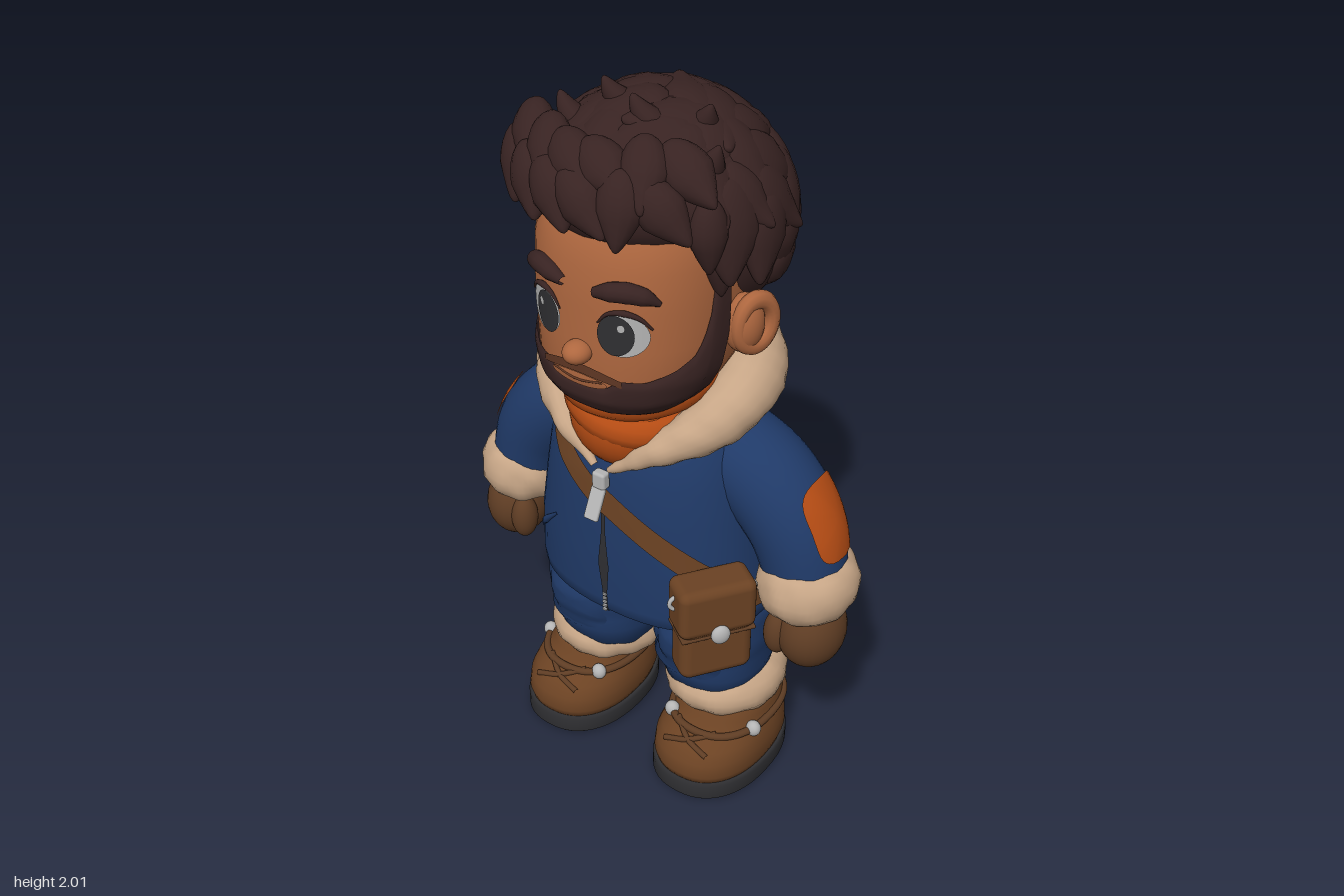
import * as THREE from 'three';
import { mergeVertices, mergeGeometries } from 'three/addons/utils/BufferGeometryUtils.js';
import { RoundedBoxGeometry } from 'three/addons/geometries/RoundedBoxGeometry.js';
import { ParametricGeometry } from 'three/addons/geometries/ParametricGeometry.js';

const V = (x, y, z) => new THREE.Vector3(x, y, z);
const spow = (v, e) => Math.sign(v) * Math.abs(v) ** e;
const rad = THREE.MathUtils.degToRad, TAU = Math.PI * 2;

// Weld a geometry and smooth its normals
function fuse(g) {
  g.deleteAttribute('uv').deleteAttribute('normal');
  const welded = mergeVertices(g, 1e-5);
  welded.computeVertexNormals();
  return welded;
}
// Move every vertex by a rule
function reshape(g, rule) {
  const p = g.attributes.position, n = g.attributes.normal;
  for (let i = 0; i < p.count; i++) {
    const v = rule(V(0, 0, 0).fromBufferAttribute(p, i), V(0, 0, 0).fromBufferAttribute(n, i), i);
    p.setXYZ(i, v.x, v.y, v.z);
  }
  return fuse(g);
}
const param = (fn, nu, nv) => fuse(new ParametricGeometry((u, v, t) => t.copy(fn(u, v)), nu, nv));
const ball = (x, y, z, rx, ry, rz) => fuse(new THREE.SphereGeometry(1, 28, 20)).scale(rx, ry, rz).translate(x, y, z);

// Linear lookup in rows sorted by their first number
function lookup(rows, k) {
  let i = 1;
  while (i < rows.length - 1 && rows[i][0] < k) i++;
  const p = rows[i - 1], q = rows[i], f = THREE.MathUtils.clamp((k - p[0]) / (q[0] - p[0]), 0, 1);
  return p.map((v, j) => v + (q[j] - v) * f);
}
// Bodies are stacks of rounded rings [y, halfWidth, halfDepth, zCentre]; angle 0 is the front
const N = 2.3;
const ringPoint = ([y, a, b, zc], th, xc, off = 0) =>
  V(xc + (a + off) * spow(Math.sin(th), 2 / N), y, zc + (b + off) * spow(Math.cos(th), 2 / N));
const onSurface = (rows, deg, y, off, xc = 0) => ringPoint(lookup(rows, y), rad(deg), xc, off);
function frontPoint(rows, x, y, off, xc = 0) {
  const [, a, b, zc] = lookup(rows, y), k = Math.min(1, Math.abs((x - xc) / a));
  return V(x, y, zc + b * (1 - k ** N) ** (1 / N) + off);
}
function loft(rows, xc = 0) {
  const cap = r => [r[0], 0, 0, r[3]], all = [cap(rows[0]), ...rows, cap(rows[rows.length - 1])], n = all.length - 1;
  return param((u, v) => ringPoint(all[Math.round(v * n)], u * TAU, xc), 48, n);
}
// Rounded disc laid on any surface fn(p, q)
const patch = (fn, cp, cq, sp, sq, e = 1) => param((r, t) =>
  fn(cp + sp * r * spow(Math.cos(t * TAU), e), cq + sq * r * spow(Math.sin(t * TAU), e), r), 6, 32);
// Tube along points, with radii spread along its length
function sweep(pts, radii, closed = false, seg = 48, sides = 12) {
  const c = new THREE.CatmullRomCurve3(pts, closed), rows = [...radii, radii[0]].map((r, i) => [i / Math.max(1, radii.length - 1), r]);
  return reshape(new THREE.TubeGeometry(c, seg, 1, sides, closed), (v, n, i) => {
    const u = Math.floor(i / (sides + 1)) / seg;
    return c.getPointAt(u).addScaledVector(n, lookup(rows, u)[1]);
  });
}
// Soft lumps for fur
const fluff = (g, amp) => reshape(g, (v, n) =>
  v.addScaledVector(n, amp * (Math.sin(v.x * 83 + v.y * 45) + Math.sin(v.z * 87 - v.y * 61 + v.x * 9))));
const furRing = (x, y, z, rx, ry, rz) => fluff(fuse(new THREE.TorusGeometry(0.55, 0.45, 20, 56)).rotateX(Math.PI / 2)
  .scale(rx, ry / 0.45, rz).translate(x, y, z), 0.002);

const HEAD = [[1.22, 0.07, 0.08, 0.1], [1.235, 0.125, 0.13, 0.1], [1.26, 0.17, 0.18, 0.095], [1.3, 0.213, 0.23, 0.07],
  [1.36, 0.24, 0.262, 0.05], [1.45, 0.252, 0.275, 0.035], [1.55, 0.256, 0.28, 0.03], [1.65, 0.255, 0.28, 0.025],
  [1.75, 0.24, 0.26, 0.02], [1.85, 0.18, 0.19, 0]];
const TORSO = [[0.555, 0.325, 0.23, -0.025], [0.565, 0.342, 0.248, -0.025], [0.6, 0.345, 0.252, -0.024], [0.75, 0.335, 0.254, -0.02],
  [0.9, 0.312, 0.25, -0.02], [1.0, 0.295, 0.245, -0.02], [1.1, 0.265, 0.23, -0.022], [1.18, 0.21, 0.2, -0.03], [1.25, 0.12, 0.14, -0.04]];
const LEG = [[0.26, 0.13, 0.14, -0.045], [0.32, 0.148, 0.155, -0.04], [0.36, 0.16, 0.167, -0.03], [0.39, 0.153, 0.158, -0.03],
  [0.43, 0.163, 0.172, -0.03], [0.48, 0.166, 0.176, -0.03], [0.52, 0.158, 0.164, -0.03], [0.6, 0.16, 0.165, -0.03]];
const BOOT = [[0.05, 0.15, 0.21, 0], [0.08, 0.159, 0.219, 0], [0.12, 0.157, 0.214, -0.003], [0.15, 0.148, 0.2, -0.014],
  [0.175, 0.138, 0.178, -0.036], [0.2, 0.13, 0.158, -0.054], [0.25, 0.12, 0.145, -0.06]];

// One pointed hair clump along dir, lying on a surface with normal n
function clump(p, n, dir, len, wid, thick, lift) {
  const t = dir.clone().addScaledVector(n, -dir.dot(n)).normalize(), side = t.clone().cross(n);
  return reshape(fuse(new THREE.SphereGeometry(1, 14, 12)), v => {
    const k = Math.max(0, v.y);
    return p.clone().addScaledVector(side, v.x * (1 - 0.6 * k) * wid).addScaledVector(t, v.y * len)
      .addScaledVector(n, (v.z * (1 - 0.3 * k) + lift * k * k) * thick);
  });
}
function hairGeometry() {
  let seed = 7;
  const rnd = () => (seed = (seed * 16807) % 2147483647) / 2147483647;
  const parts = [ball(0, 1.64, -0.08, 0.3, 0.275, 0.245), ball(0, 1.785, 0.03, 0.28, 0.165, 0.28)];
  const hairline = [[0, 1.85], [45, 1.83], [60, 1.75], [75, 1.65], [100, 1.62], [112, 1.47], [180, 1.42]];
  for (let i = 0; i < 120; i++) {
    const y = 1 - (2 * (i + 0.5)) / 120, r = Math.sqrt(1 - y * y), d = V(r * Math.sin(i * 2.4), y, r * Math.cos(i * 2.4));
    const p = V(d.x * 0.296, 1.66 + d.y * 0.285, -0.02 + d.z * 0.298);
    if (p.y < lookup(hairline, Math.abs(THREE.MathUtils.radToDeg(Math.atan2(d.x, d.z))))[1]) continue;
    const k = 0.85 + rnd() * 0.35, dir = V(-0.3 + (rnd() - 0.5) * 1.3, -1, 0.3 + (rnd() - 0.5) * 1.3);
    parts.push(clump(p, d, dir, 0.11 * k, 0.072 * k, 0.044, rnd() * 1.1 - 0.3));
  }
  // Fringe, temples and top tufts
  for (let i = 0; i < 12; i++) {
    const row = i % 2, x = -0.225 + (i >> 1) * 0.085 + row * 0.025, n = V(x * 2.6, 0.25 + row * 0.6, 1).normalize();
    const z = 0.055 + 0.265 * Math.sqrt(1 - (x / 0.3) ** 2) - row * 0.045;
    parts.push(clump(V(x, 1.825 + row * 0.07, z), n, V((rnd() - 0.4) * 2, -0.8, 0.2), 0.095, 0.06, 0.045, 0.3));
  }
  for (const s of [-1, 1]) for (const [y, z] of [[1.74, 0.15], [1.66, 0.1]])
    parts.push(clump(V(s * 0.25, y, z), V(s, 0, 0.5).normalize(), V(s * 0.2, -1, 0.1), 0.095, 0.05, 0.045, 0.2));
  for (const [x, y, z, dx] of [[-0.07, 1.945, 0.04, -0.5], [0.04, 1.94, 0.08, -0.6], [0.13, 1.92, 0, 0.8], [-0.16, 1.9, 0.1, -0.9], [0.2, 1.86, 0.08, 1.2]])
    parts.push(clump(V(x, y, z), V(-dx * 0.5, 0.7, -0.5).normalize(), V(dx, 0.5, 0.6), 0.075, 0.045, 0.035, 0.7));
  return mergeGeometries(parts);
}

export function createModel() {
  const model = new THREE.Group();
  model.name = 'explorer';
  const mat = (name, color, side = THREE.FrontSide) => Object.assign(new THREE.MeshStandardMaterial({ color, side }), { name });
  const hair = mat('dark brown hair', 0x382322, THREE.DoubleSide), tan = mat('moustache brown', 0x5e3623, THREE.DoubleSide);
  const leather = mat('brown leather', 0x6b4223, THREE.DoubleSide), glove = mat('glove brown', 0x5f3d24);
  const skin = mat('skin', 0xae673f), blue = mat('navy cloth', 0x203a68), fur = mat('cream fur', 0xc6a586);
  const orange = mat('orange cloth', 0xb54c14), dark = mat('charcoal', 0x2f2f32), metal = mat('pale grey', 0xb4b4b4);

  const add = (name, geo, material) => model.add(Object.assign(new THREE.Mesh(geo, material), { name }));
  function pair(name, geo, material) {
    const g = geo.clone().scale(-1, 1, 1), ix = g.index.array;
    for (let i = 0; i < ix.length; i += 3) [ix[i], ix[i + 1]] = [ix[i + 1], ix[i]];
    add(name + 'Left', geo, material);
    add(name + 'Right', g, material);
  }

  // Head and face
  const face = off => (x, y) => frontPoint(HEAD, x, y, off);
  const along = (pts, off) => pts.map(([x, y]) => face(off)(x, y));
  add('head', loft(HEAD), skin);
  add('hair', hairGeometry(), hair);
  pair('ear', ball(0.272, 1.46, 0.02, 0.05, 0.078, 0.055), skin);
  pair('earRim', fuse(new THREE.TorusGeometry(0.05, 0.02, 10, 28)).rotateY(1.2).scale(1, 1.25, 1).translate(0.3, 1.465, 0.012), skin);
  add('nose', ball(0, 1.43, 0.32, 0.036, 0.03, 0.04), skin);
  pair('eyeWhite', patch(face(0.006), 0.113, 1.5, 0.058, 0.058), metal);
  pair('iris', patch(face(0.01), 0.1, 1.5, 0.043, 0.054), dark);
  pair('eyeGlint', patch(face(0.014), 0.116, 1.523, 0.009, 0.011), metal);
  pair('lashLine', sweep(along([[0.055, 1.525], [0.08, 1.553], [0.115, 1.561], [0.15, 1.55], [0.175, 1.52]], 0.006), [0.002, 0.008, 0.003], false, 20), hair);
  pair('brow', sweep(along([[0.045, 1.602], [0.085, 1.612], [0.125, 1.615], [0.16, 1.605], [0.187, 1.585]], 0.006), [0.012, 0.024, 0.026, 0.022, 0.006], false, 24), hair);
  const beardTop = [[0, 1.342], [14, 1.342], [22, 1.372], [38, 1.372], [55, 1.395], [66, 1.425], [73, 1.5], [76, 1.64], [84, 1.64]];
  add('beard', param((u, v) => {
    const deg = -84 + 168 * u, top = lookup(beardTop, Math.abs(deg))[1];
    return onSurface(HEAD, deg, 1.222 + (top - 1.222) * v, 0.003 + 0.014 * Math.sqrt(Math.abs(Math.sin(Math.PI * (0.15 + v * 0.85)))));
  }, 64, 14), hair);
  add('moustache', param((u, v) => {
    const x = -0.115 + 0.23 * u, k = (x / 0.115) ** 2;
    return face(0.012)(x, 1.376 - 0.018 * k + v * (0.026 - 0.008 * k));
  }, 24, 4), tan);
  add('lips', patch(face(0.013), 0, 1.358, 0.082, 0.018), skin);
  add('smileLine', sweep(along([[-0.07, 1.366], [0, 1.357], [0.07, 1.366]], 0.014), [0.003], false, 16), tan);

  // Scarf and fur collar
  add('scarfFront', ball(0, 1.155, 0.122, 0.155, 0.14, 0.142), orange);
  for (const [y, rx, rz, r, tilt] of [[1.265, 0.17, 0.16, 0.05, 0.02], [1.2, 0.15, 0.16, 0.05, -0.03], [1.14, 0.1, 0.14, 0.04, 0.025]]) {
    const loop = Array.from({ length: 10 }, (_, i) => [Math.sin(i / 10 * TAU), Math.cos(i / 10 * TAU)]);
    add('scarfWrap', sweep(loop.map(([s, c]) => V(rx * s, y + tilt * s - 0.02 * c, 0.06 + rz * c)), [r], true), orange);
  }
  const lapel = [V(0.022, 1.045, 0.237), V(0.128, 1.122, 0.205), V(0.228, 1.19, 0.1), V(0.254, 1.25, -0.03), V(0.17, 1.268, -0.165)];
  const collar = [...lapel, V(0, 1.27, -0.21), ...lapel.map(p => V(-p.x, p.y, p.z)).reverse()];
  add('furCollar', fluff(sweep(collar, [0.008, 0.042, 0.074, 0.09, 0.096, 0.1, 0.096, 0.09, 0.074, 0.042, 0.008], false, 90, 18), 0.0015), fur);

  // Jacket with zip and pocket welts
  add('jacket', loft(TORSO), blue);
  add('zip', param((u, v) => {
    const y = 0.562 + 0.45 * v, w = 0.007 + 0.01 * Math.max(0, 1 - Math.abs(y - 0.73) / 0.1);
    return frontPoint(TORSO, (u - 0.5) * 2 * w, y, 0.006);
  }, 2, 30), dark);
  for (let i = 0; i < 5; i++) add('zipTooth', new THREE.BoxGeometry(0.012, 0.006, 0.006).translate(0, 0.575 + i * 0.013, 0.236), metal);
  add('zipSlider', new RoundedBoxGeometry(0.04, 0.05, 0.03, 2, 0.008).translate(0, 1.01, 0.242), metal);
  add('zipPull', new RoundedBoxGeometry(0.042, 0.09, 0.014, 2, 0.005).rotateX(-0.45).translate(0, 0.95, 0.268), metal);
  for (const [from, to] of [[30, 58], [150, 122]])
    pair('pocketWelt', sweep([0, 0.5, 1].map(f => onSurface(TORSO, from + (to - from) * f, 0.8 - 0.14 * f, 0.001)), [0.003, 0.011, 0.003], false, 20), blue);

  // Sleeves, patches, cuffs and mittens
  const armPath = new THREE.CatmullRomCurve3([V(0.15, 1.065, -0.045), V(0.315, 0.985, -0.045), V(0.412, 0.88, -0.04), V(0.465, 0.73, -0.03)]);
  const arm = off => (phi, u) => {
    const t = armPath.getTangentAt(u), r = 0.125 + 0.014 * Math.sin(u * Math.PI) - 0.016 * u + off;
    return armPath.getPointAt(u).add(V(-t.y * Math.cos(phi), t.x * Math.cos(phi), Math.sin(phi)).multiplyScalar(r));
  };
  pair('sleeve', param((u, v) => arm(0)(u * TAU, v), 32, 24), blue);
  pair('elbowPatch', patch(arm(0.006), -0.14, 0.68, 0.76, 0.165, 0.55), orange);
  pair('sleeveCuff', furRing(0.467, 0.728, -0.03, 0.134, 0.082, 0.144), fur);
  pair('mitten', ball(0.497, 0.59, -0.012, 0.09, 0.112, 0.105), glove);
  pair('mittenThumb', ball(0.43, 0.585, 0.05, 0.038, 0.068, 0.04), glove);

  // Trousers and boots
  const lx = 0.182, bx = 0.228, onBoot = (deg, y, off) => onSurface(BOOT, deg, y, off, bx);
  add('hips', ball(0, 0.6, -0.03, 0.31, 0.09, 0.19), blue);
  pair('trouserLeg', loft(LEG, lx), blue);
  pair('kneePocket', patch((x, y, r) => frontPoint(LEG, x, y, 0.014 * (1 - r ** 6), lx), 0.19, 0.455, 0.1, 0.09, 0.45), blue);
  pair('trouserCuff', furRing(0.203, 0.265, -0.06, 0.17, 0.07, 0.183), fur);
  pair('boot', loft(BOOT, bx), leather);
  pair('sole', loft([[0, 0.155, 0.216, 0], [0.008, 0.163, 0.223, 0], [0.05, 0.163, 0.223, 0], [0.058, 0.157, 0.217, 0]], bx), dark);
  pair('bootStrap', sweep(Array.from({ length: 24 }, (_, i) => onBoot(i * 15, 0.178, 0.002)), [0.011], true, 72), glove);
  for (const deg of [-40, 68]) pair('bootStud', ball(...onBoot(deg, 0.18, 0.006), 0.022, 0.024, 0.02), metal);
  for (const s of [-0.02, 0.02]) pair('lace', sweep([-1, 0, 1].map(f => onBoot(f * 24, 0.163 + s * f, 0.003)), [0.008], false, 16), glove);

  // Shoulder strap and satchel
  const route = [[-60, 1.16], [-24, 1.03], [3, 0.93], [28, 0.84], [50, 0.76], [80, 0.66], [110, 0.63], [140, 0.72],
    [165, 0.86], [190, 1.0], [210, 1.1], [228, 1.17], [300, 1.16]];
  add('shoulderStrap', param((u, v) => {
    const deg = -60 + v * 360;
    return onSurface(TORSO, deg, lookup(route, deg)[1] + (u - 0.5) * 0.085, 0.009);
  }, 6, 160), leather);
  const place = new THREE.Matrix4().makeRotationY(0.96).setPosition(0.312, 0.655, 0.187);
  const bag = (name, g, m) => add(name, g.applyMatrix4(place), m);
  bag('satchel', new RoundedBoxGeometry(0.2, 0.28, 0.1, 3, 0.03).translate(0, -0.008, 0), leather);
  bag('satchelFlap', new RoundedBoxGeometry(0.212, 0.15, 0.114, 3, 0.025).translate(0, 0.07, 0), leather);
  bag('satchelFlapSeam', new RoundedBoxGeometry(0.204, 0.01, 0.108, 2, 0.004).translate(0, -0.006, 0), glove);
  bag('satchelClasp', ball(0, 0.005, 0.062, 0.026, 0.028, 0.016), metal);
  for (const x of [-0.098, 0.098]) bag('satchelRing', fuse(new THREE.TorusGeometry(0.02, 0.006, 8, 20)).translate(x, 0.09, 0), metal);
  return model;
}
